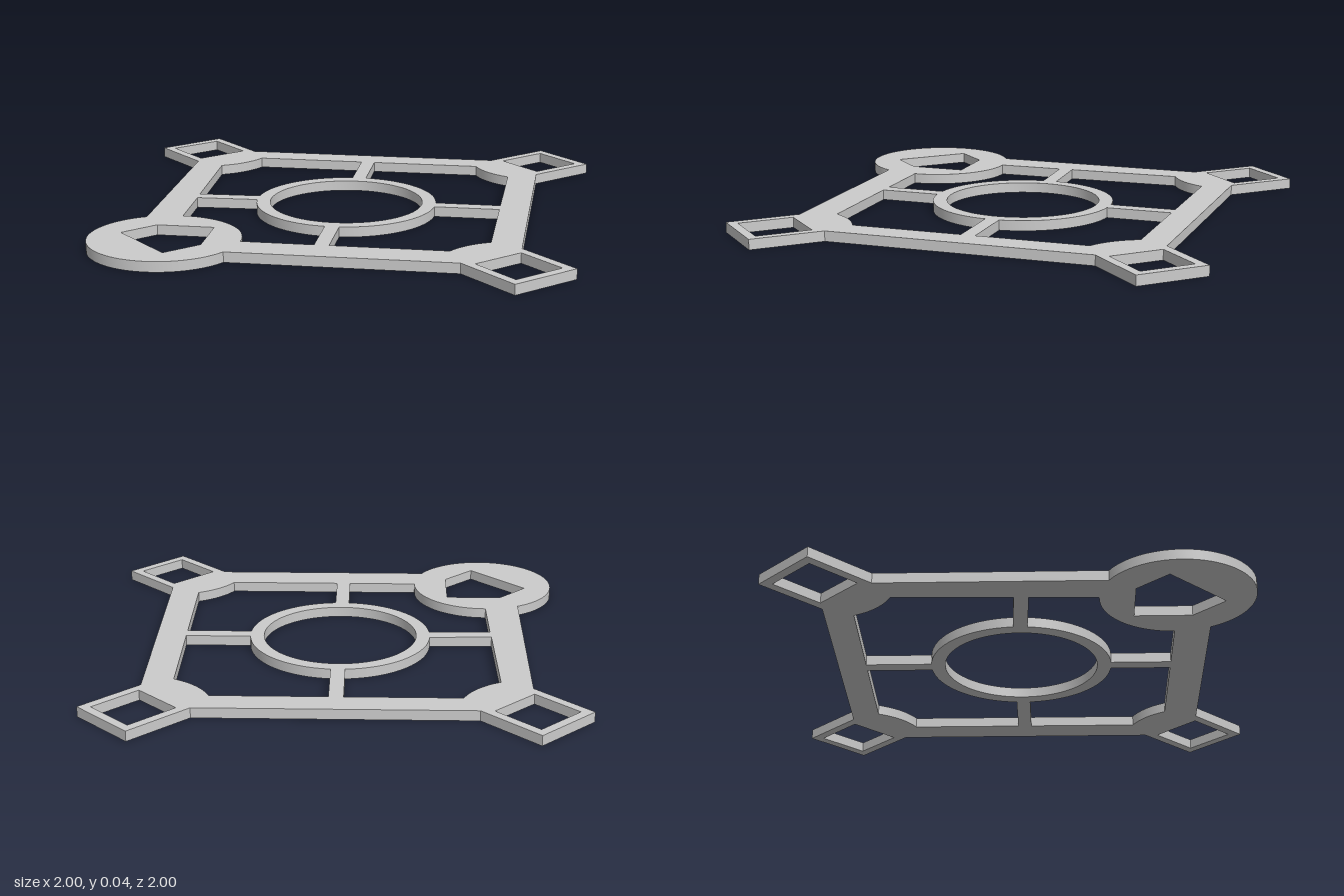
import * as THREE from 'three';
import { toCreasedNormals } from 'three/addons/utils/BufferGeometryUtils.js';

const THICK = 0.043;
const CORNER = 0.78;    // outer frame line and centre of the corner diamonds
const RING = 0.382;     // outer radius of the centre ring
const ROUND = [-0.635, 0.632]; // centre of the round corner plate

// Points along an arc about c from p to q; long = go the long way round
function arc(c, p, q, n = 16, long = false) {
  const a = Math.atan2(p[1] - c[1], p[0] - c[0]);
  const b = Math.atan2(q[1] - c[1], q[0] - c[0]);
  const r0 = Math.hypot(p[0] - c[0], p[1] - c[1]);
  const r1 = Math.hypot(q[0] - c[0], q[1] - c[1]);
  let d = Math.atan2(Math.sin(b - a), Math.cos(b - a));
  if (long) d -= Math.sign(d) * 2 * Math.PI;
  return Array.from({ length: n + 1 }, (_, i) => {
    const t = i / n, r = r0 + (r1 - r0) * t;
    return [c[0] + r * Math.cos(a + d * t), c[1] + r * Math.sin(a + d * t)];
  });
}

const toVec = (pts) => pts.map(([x, z]) => new THREE.Vector2(x, z));

// Diamond corners around a frame corner
const diamond = (sx, sz, h) => {
  const x = sx * CORNER, z = sz * CORNER;
  return [[x - h, z], [x, z - h], [x + h, z], [x, z + h]];
};

// Window between ring, two spokes, frame and a curved corner gusset
function windowHole({ sx, sz, c, ringSide, spoke, side, gusset, front }) {
  return [
    ...arc([0, 0], [sx * 0.03, sz * RING], ringSide, 24),
    spoke, side,
    ...arc(c, side, gusset).slice(1),
    [sx * 0.03, front],
  ];
}

export function createModel() {
  const group = new THREE.Group();
  group.name = 'frame';

  // Outer contour: three diamond corners and one round corner
  const o = CORNER, h = 0.22, e = o - h, tip = o + h;
  const outline = [
    [-o, -e], [-tip, -o], [-o, -tip], [-e, -o],
    [e, -o], [o, -tip], [tip, -o], [o, -e],
    [o, e], [tip, o], [o, tip], [e, o],
    ...arc(ROUND, [-0.362, o], [-o, 0.358], 56, true),
  ];

  const holes = [
    // back right, front right, back left and front left windows
    windowHole({ sx: 1, sz: -1, c: [o, -o], ringSide: [0.381, -0.03], spoke: [0.655, -0.03],
      side: [0.655, -0.5], gusset: [0.5, -0.66], front: -0.66 }),
    windowHole({ sx: 1, sz: 1, c: [o, o], ringSide: [0.381, 0.03], spoke: [0.655, 0.03],
      side: [0.655, 0.497], gusset: [0.505, 0.635], front: 0.635 }),
    windowHole({ sx: -1, sz: -1, c: [-o, -o], ringSide: [-0.381, -0.025], spoke: [-0.643, -0.015],
      side: [-0.655, -0.5], gusset: [-0.5, -0.66], front: -0.66 }),
    windowHole({ sx: -1, sz: 1, c: ROUND, ringSide: [-0.38, 0.035], spoke: [-0.64, 0.045],
      side: [-0.635, 0.322], gusset: [-0.325, 0.635], front: 0.635 }),
    // diamond corner openings
    ...[[-1, -1], [1, -1], [1, 1]].map(([sx, sz]) => diamond(sx, sz, 0.165)),
    // five-sided opening in the round corner
    [[-0.707, 0.465], [-0.47, 0.465], [-0.47, 0.70], [-0.593, 0.825], [-0.825, 0.59]],
  ];

  const shape = new THREE.Shape(toVec(outline));
  for (const pts of holes) shape.holes.push(new THREE.Path(toVec(pts)));

  // opening of the centre ring
  const bore = new THREE.Path();
  bore.absarc(0, 0, 0.324, 0, Math.PI * 2, true);
  shape.holes.push(bore);

  // Flat plate lying on the ground plane
  const geo = new THREE.ExtrudeGeometry(shape, { depth: THICK, bevelEnabled: false, curveSegments: 40 });
  geo.rotateX(Math.PI / 2);
  geo.translate(0, THICK, 0);

  const plate = new THREE.Mesh(
    toCreasedNormals(geo, 0.4),
    new THREE.MeshStandardMaterial({ color: 0xcccccc }),
  );
  plate.name = 'framePlate';
  group.add(plate);
  return group;
}
